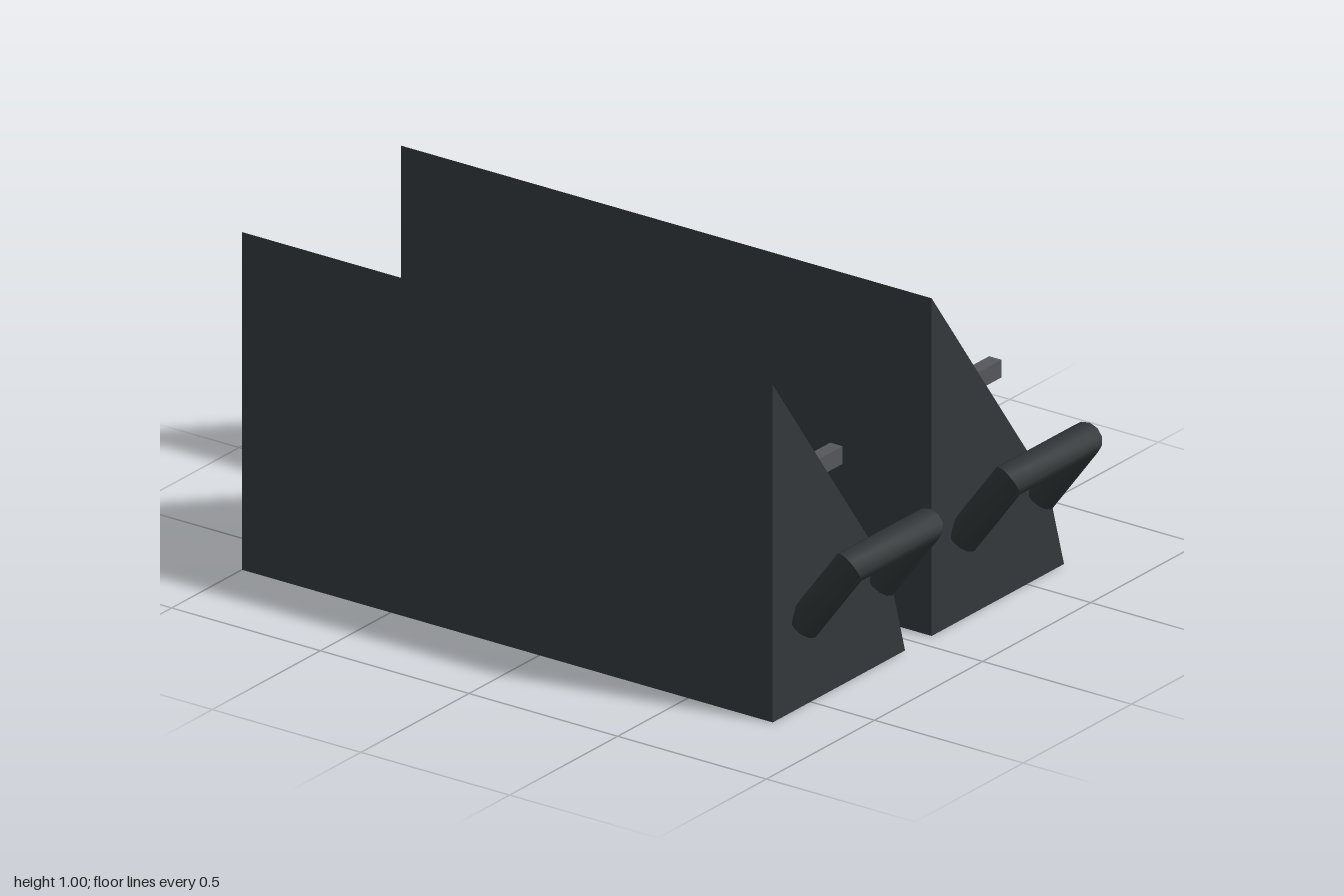
import * as THREE from 'three';
import { toCreasedNormals } from 'three/addons/utils/BufferGeometryUtils.js';

const bodyMat = new THREE.MeshStandardMaterial({ color: 0x33383b });
const pegMat = new THREE.MeshStandardMaterial({ color: 0x55565b });
const handleMat = new THREE.MeshStandardMaterial({ color: 0x2e3335 });

// Wedge body: sloped profile extruded along z
function bodyGeometry() {
  const shape = new THREE.Shape([
    [-0.307, 0], [0.305, 0], [0.229, 0.265], [-0.307, 1],
  ].map(([x, y]) => new THREE.Vector2(x, y)));
  const geo = new THREE.ExtrudeGeometry(shape, { depth: 1.785, bevelEnabled: false });
  geo.translate(0, 0, -1);
  return toCreasedNormals(geo, 0.5);
}

// U-shaped handle: elliptical rings swept along leg, bar, leg with pinched mitred corners
function handleGeometry() {
  const sides = 12;
  const down = new THREE.Vector3(0, -0.8, -0.6);
  const across = new THREE.Vector3(0, 0.6, -0.8);
  // ring: centre, in-plane half axis u, half axis along `across`
  const ring = (x, y, z, ux, ud) => ({
    c: new THREE.Vector3(x, y, z),
    u: new THREE.Vector3(ux, 0, 0).addScaledVector(down, ud),
  });
  const rings = [
    ring(-0.18, 0.25, 0.796, -0.0415, 0),
    ring(-0.18, 0.4565, 0.95, -0.024, -0.035),
    ring(0.18, 0.4565, 0.95, 0.024, -0.035),
    ring(0.18, 0.25, 0.796, 0.0415, 0),
  ];
  const pos = [], index = [];
  const add = (v) => pos.push(v.x, v.y, v.z);
  for (const { c, u } of rings) {
    for (let i = 0; i < sides; i++) {
      const a = (i / sides) * Math.PI * 2;
      add(c.clone().addScaledVector(u, Math.cos(a)).addScaledVector(across, 0.05 * Math.sin(a)));
    }
  }
  add(rings[0].c);
  add(rings[3].c);
  const start = sides * 4, end = start + 1;
  for (let i = 0; i < sides; i++) {
    const j = (i + 1) % sides;
    for (let r = 0; r < 3; r++) {
      const a = r * sides + i, b = r * sides + j;
      index.push(a, a + sides, b, b, a + sides, b + sides);
    }
    index.push(start, i, j, end, 3 * sides + j, 3 * sides + i);
  }
  const geo = new THREE.BufferGeometry();
  geo.setAttribute('position', new THREE.Float32BufferAttribute(pos, 3));
  geo.setIndex(index);
  return toCreasedNormals(geo, 0.8);
}

export function createModel() {
  const model = new THREE.Group();
  model.name = 'wedgePair';
  const body = bodyGeometry();
  const handle = handleGeometry();
  const peg = new THREE.BoxGeometry(0.36, 0.052, 0.042);

  const addMesh = (parent, geo, mat, name) => {
    const mesh = new THREE.Mesh(geo, mat);
    mesh.name = name;
    parent.add(mesh);
    return mesh;
  };

  for (const [name, x] of [['rightWedge', -0.368], ['leftWedge', 0.367]]) {
    const wedge = new THREE.Group();
    wedge.name = name;
    wedge.position.x = x;
    addMesh(wedge, body, bodyMat, 'body');
    addMesh(wedge, handle, handleMat, 'handle');
    // Row of pegs sticking out of the slope
    for (let i = 0; i < 7; i++) {
      addMesh(wedge, peg, pegMat, 'peg' + (i + 1)).position.set(0.113, 0.532, -0.778 + i * 0.2235);
    }
    model.add(wedge);
  }
  return model;
}
